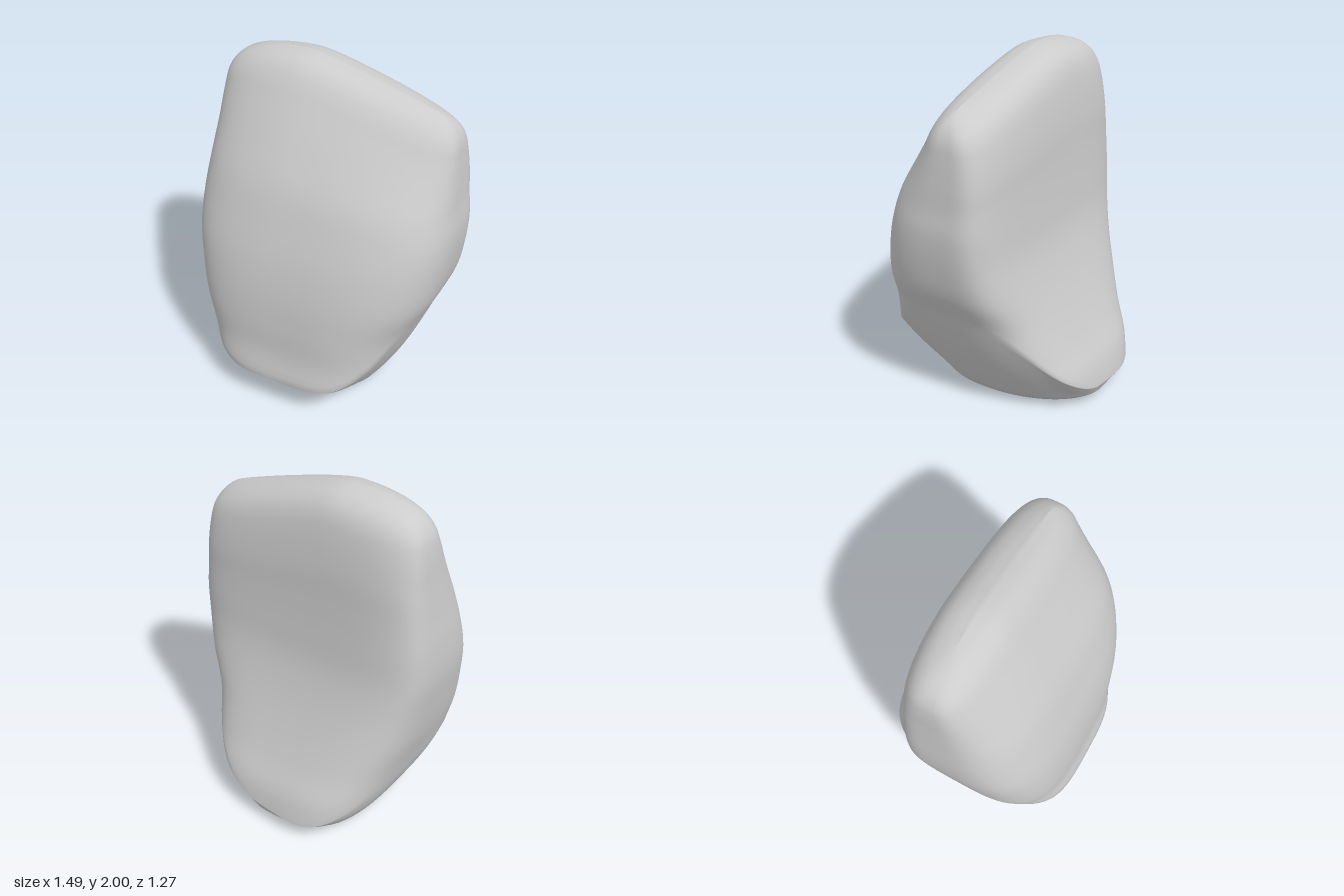
import * as THREE from 'three';

// Outline by height: [y, -x, +x, front z, back z, squareness: front +x, front -x, back -x, back +x]
const SECTIONS = [
  [0.10, -0.56, 0.48, 0.63, -0.637, 3.0, 3.8, 3.4, 3.2],
  [0.25, -0.59, 0.53, 0.637, -0.60, 3.0, 3.8, 3.5, 3.6],
  [0.40, -0.63, 0.56, 0.61, -0.525, 3.0, 3.8, 3.6, 4.0],
  [0.60, -0.685, 0.60, 0.60, -0.44, 2.9, 3.7, 3.8, 4.2],
  [0.80, -0.72, 0.69, 0.58, -0.37, 2.8, 3.5, 4.0, 4.4],
  [1.00, -0.745, 0.73, 0.54, -0.32, 2.8, 3.4, 4.2, 4.5],
  [1.20, -0.74, 0.74, 0.48, -0.30, 2.9, 3.3, 4.4, 4.5],
  [1.40, -0.72, 0.725, 0.41, -0.288, 3.0, 3.2, 4.4, 4.5],
  [1.60, -0.70, 0.715, 0.31, -0.28, 3.0, 3.1, 4.2, 4.4],
  [1.80, -0.68, 0.70, 0.20, -0.255, 3.0, 3.0, 3.8, 4.2],
  [1.90, -0.65, 0.685, 0.14, -0.225, 3.0, 3.0, 3.4, 3.8],
  [1.96, -0.58, 0.65, 0.085, -0.175, 2.8, 2.8, 3.0, 3.2],
  [1.99, -0.46, 0.60, 0.025, -0.11, 2.6, 2.6, 2.6, 2.6],
  [2.00, -0.33, 0.55, -0.035, -0.05, 2.5, 2.5, 2.5, 2.5],
];
const BASE_OUTLINE = [0, -0.46, 0.33, 0.42, -0.61, 2.4, 2.8, 3.0, 2.0];
const BASE_CENTRE = [-0.05, 0, -0.1];
const SEGMENTS = 112;

// Height of the lower crease every 22.5 degrees, from +x through the front
const CREASE = new THREE.CatmullRomCurve3([
  0.66, 0.60, 0.42, 0.28, 0.235, 0.235, 0.30, 0.38,
  0.42, 0.32, 0.20, 0.11, 0.12, 0.26, 0.46, 0.60,
].map(y => new THREE.Vector3(0, y, 0)), true, 'catmullrom');

// Smooth interpolation of one row of the section table
function sectionAt(y) {
  let i = 0;
  while (i < SECTIONS.length - 2 && y > SECTIONS[i + 1][0]) i++;
  const p = SECTIONS[i], q = SECTIONS[i + 1];
  const before = SECTIONS[Math.max(i - 1, 0)];
  const after = SECTIONS[Math.min(i + 2, SECTIONS.length - 1)];
  const step = q[0] - p[0];
  const t = THREE.MathUtils.clamp((y - p[0]) / step, 0, 1);
  const t2 = t * t, t3 = t2 * t;
  return p.map((v, k) => {
    const m0 = (q[k] - before[k]) / (q[0] - before[0]) * step;
    const m1 = (after[k] - v) / (after[0] - p[0]) * step;
    return (2 * t3 - 3 * t2 + 1) * v + (t3 - 2 * t2 + t) * m0
      + (3 * t2 - 2 * t3) * q[k] + (t3 - t2) * m1;
  });
}

// Point on a lopsided superellipse with its own squareness in each quadrant
function outline(a, [, left, right, front, back, ...square], zc) {
  const c = Math.cos(a), s = Math.sin(a);
  const e = 2 / square[Math.floor(a / (Math.PI / 2)) % 4];
  return [
    Math.abs(c) ** e * (c >= 0 ? right : left),
    zc + Math.abs(s) ** e * (s >= 0 ? front - zc : back - zc),
  ];
}

// Flat-ish base, curling up slightly towards its edge
function basePoint(a) {
  const [x, z] = outline(a, BASE_OUTLINE, 0);
  const s = Math.sin(a);
  return [x, 0.045 + (s > 0 ? 0.045 : 0.025) * s * s, z];
}

// Body surface; t runs from the lower crease (0) to the top ridge (1)
function bodyPoint(a, t) {
  const low = CREASE.getPoint(a / (Math.PI * 2)).y;
  const h = THREE.MathUtils.lerp(low, 2, Math.sin(t * Math.PI / 2));
  const zc = THREE.MathUtils.lerp(0.06, -0.04, THREE.MathUtils.smoothstep(h, 0.6, 1.7));
  const [x, z] = outline(a, sectionAt(h), zc);
  // top edge slopes down to +x and rounds off to -x
  const d = x + 0.2;
  const drop = d > 0 ? 0.3 * d * d / (d + 0.15) : 0.25 * d * d;
  return [x, h - drop * THREE.MathUtils.smoothstep(h, 1, 2), z];
}

const mix = (p, q, k) => p.map((v, i) => THREE.MathUtils.lerp(v, q[i], k));

function buildBody() {
  const rings = [];
  const BASE = 10, FACET = 12, BODY = 64;
  // underside
  for (let i = 0; i <= BASE; i++) {
    const k = i / BASE;
    rings.push(a => {
      const p = basePoint(a);
      const [x, , z] = mix(BASE_CENTRE, p, k);
      return [x, p[1] * k * k, z];
    });
  }
  // slanted lower facets between base and crease
  for (let i = 1; i < FACET; i++) {
    const k = i / FACET, bulge = 0.025 * Math.sin(k * Math.PI);
    rings.push(a => {
      const [x, y, z] = mix(basePoint(a), bodyPoint(a, 0), k);
      return [x + bulge * Math.cos(a), y, z + bulge * Math.max(0, Math.sin(a))];
    });
  }
  // main body up to the ridge
  for (let i = 0; i <= BODY; i++) rings.push(a => bodyPoint(a, i / BODY));

  const positions = [], index = [];
  rings.forEach((ring, i) => {
    for (let j = 0; j < SEGMENTS; j++) {
      positions.push(...ring(j / SEGMENTS * Math.PI * 2));
      if (i === rings.length - 1) continue;
      const n = (j + 1) % SEGMENTS;
      const a = i * SEGMENTS + j, b = i * SEGMENTS + n;
      const c = a + SEGMENTS, d = b + SEGMENTS;
      index.push(a, c, b, b, c, d);
    }
  });
  // close the narrow top strip between front and back halves
  const top = (rings.length - 1) * SEGMENTS;
  for (let j = 0; j < SEGMENTS / 2; j++) {
    const f0 = top + j, f1 = top + j + 1;
    const b0 = top + (SEGMENTS - j) % SEGMENTS, b1 = top + SEGMENTS - j - 1;
    index.push(f0, b0, f1, f1, b0, b1);
  }
  const geometry = new THREE.BufferGeometry();
  geometry.setAttribute('position', new THREE.Float32BufferAttribute(positions, 3));
  geometry.setIndex(index);
  geometry.computeVertexNormals();
  return geometry;
}

export function createModel() {
  const group = new THREE.Group();
  group.name = 'wedgeStone';
  const body = new THREE.Mesh(buildBody(), new THREE.MeshStandardMaterial({ color: 0xcccccc }));
  body.name = 'stoneBody';
  group.add(body);
  return group;
}
